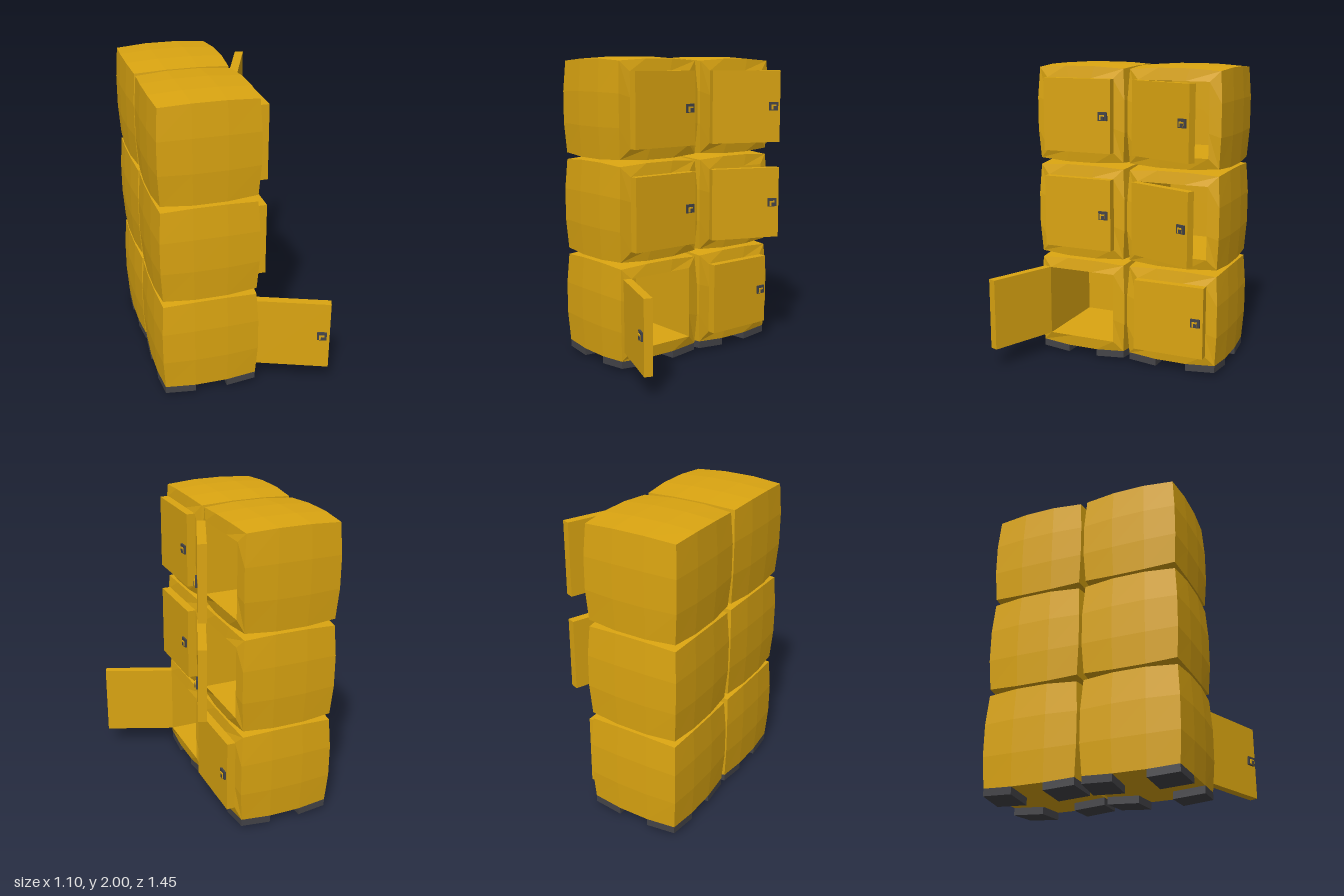
import * as THREE from 'three';
import { mergeGeometries } from 'three/addons/utils/BufferGeometryUtils.js';

const yellow = new THREE.MeshStandardMaterial({ color: 0xdba511, flatShading: true });
const dark = new THREE.MeshStandardMaterial({ color: 0x444448, flatShading: true });

const HALF = 0.302;       // half size of a locker, measured at its corners
const OPEN = 0.237;       // half size of the door opening
const FACE = 0.325;       // distance of the opening's rim from the locker centre
const DOOR = { t: 0.055, w: 0.48, h: 0.477 };

// Swells a point of the unit cube: corners stay, edges and faces bulge out
function swell(p) {
  return p.multiplyScalar(HALF * (1 + 0.047 * (3 - p.lengthSq())));
}

function fromTriangles(points) {
  const g = new THREE.BufferGeometry().setFromPoints(points);
  g.computeVertexNormals();
  return g;
}

// Twelve (y, z) points around the unit square, anticlockwise seen from +x
function squareLoop() {
  const loop = [];
  for (let side = 0; side < 4; side++) {
    for (let i = 0; i < 3; i++) {
      const a = 1, b = -1 + (2 * i) / 3;
      loop.push([[a, b], [-b, a], [-a, -b], [b, -a]][side]);
    }
  }
  return loop;
}

// Swollen shell on five sides, with a door frame and cavity on the sixth
function lockerGeometry() {
  const box = new THREE.BoxGeometry(2, 2, 2, 3, 3, 3).toNonIndexed();
  const pos = box.attributes.position;
  const shell = [];
  for (let i = 54; i < pos.count; i++) { // the first 54 corners are the +x face
    shell.push(swell(new THREE.Vector3().fromBufferAttribute(pos, i)));
  }
  const loop = squareLoop();
  const ring = (x, s) => loop.map(([y, z]) => new THREE.Vector3(x, y * s, z * s));
  const rings = [
    loop.map(([y, z]) => swell(new THREE.Vector3(1, y, z))),
    ring(FACE, OPEN),
    ring(-0.27, OPEN),
    ring(-0.27, 0),
  ];
  const front = [];
  for (let r = 0; r < rings.length - 1; r++) {
    for (let i = 0; i < 12; i++) {
      const j = (i + 1) % 12;
      const [a, b, c, d] = [rings[r][i], rings[r][j], rings[r + 1][j], rings[r + 1][i]];
      front.push(a, b, c);
      if (r < 2) front.push(a, c, d);
    }
  }
  return mergeGeometries([fromTriangles(shell), fromTriangles(front)]);
}

// Foot pad that follows a corner third of the swollen underside
function footGeometry(sx, sz) {
  const g = new THREE.BoxGeometry(2 / 3, 1, 2 / 3);
  const pos = g.attributes.position;
  for (let i = 0; i < pos.count; i++) {
    const p = new THREE.Vector3(pos.getX(i) + sx * 2 / 3, -1, pos.getZ(i) + sz * 2 / 3);
    swell(p);
    if (pos.getY(i) < 0) p.y -= 0.0475;
    pos.setXYZ(i, p.x, p.y, p.z);
  }
  g.computeVertexNormals();
  return g;
}

function addBox(parent, name, material, size, at) {
  const mesh = new THREE.Mesh(new THREE.BoxGeometry(...size), material);
  mesh.name = name;
  mesh.position.set(...at);
  parent.add(mesh);
}

// Door with its origin on the hinge edge, reaching along -z when closed
function makeDoor(angle) {
  const door = new THREE.Group();
  door.name = 'door';
  addBox(door, 'doorPanel', yellow, [DOOR.t, DOOR.h, DOOR.w], [DOOR.t / 2, 0, -DOOR.w / 2]);
  addBox(door, 'latchPlate', dark, [0.012, 0.056, 0.062], [DOOR.t + 0.006, 0.002, -0.43]);
  addBox(door, 'latchButton', yellow, [0.008, 0.033, 0.034], [DOOR.t + 0.014, -0.004, -0.428]);
  addBox(door, 'latchKey', dark, [0.006, 0.023, 0.022], [DOOR.t + 0.018, -0.009, -0.434]);
  door.rotation.y = -THREE.MathUtils.degToRad(angle);
  return door;
}

export function createModel() {
  const model = new THREE.Group();
  model.name = 'lockerStack';
  const shell = lockerGeometry();

  // Two columns of three lockers; door angles run from bottom to top
  const columns = [
    { z: 0.25, angles: [111.5, 0, 0] },
    { z: -0.4, angles: [0, 21.5, 21.5] },
  ];
  for (const { z, angles } of columns) {
    angles.forEach((angle, level) => {
      const locker = new THREE.Group();
      locker.name = 'locker';
      locker.position.set(-0.225, 0.375 + 0.649 * level, z);
      const body = new THREE.Mesh(shell, yellow);
      body.name = 'lockerBody';
      locker.add(body);

      const door = makeDoor(angle);
      door.position.set(FACE, 0, OPEN);
      locker.add(door);

      // Corner feet under the bottom lockers only
      if (level === 0) {
        for (const sx of [-1, 1]) for (const sz of [-1, 1]) {
          const foot = new THREE.Mesh(footGeometry(sx, sz), dark);
          foot.name = 'foot';
          locker.add(foot);
        }
      }
      model.add(locker);
    });
  }
  return model;
}
